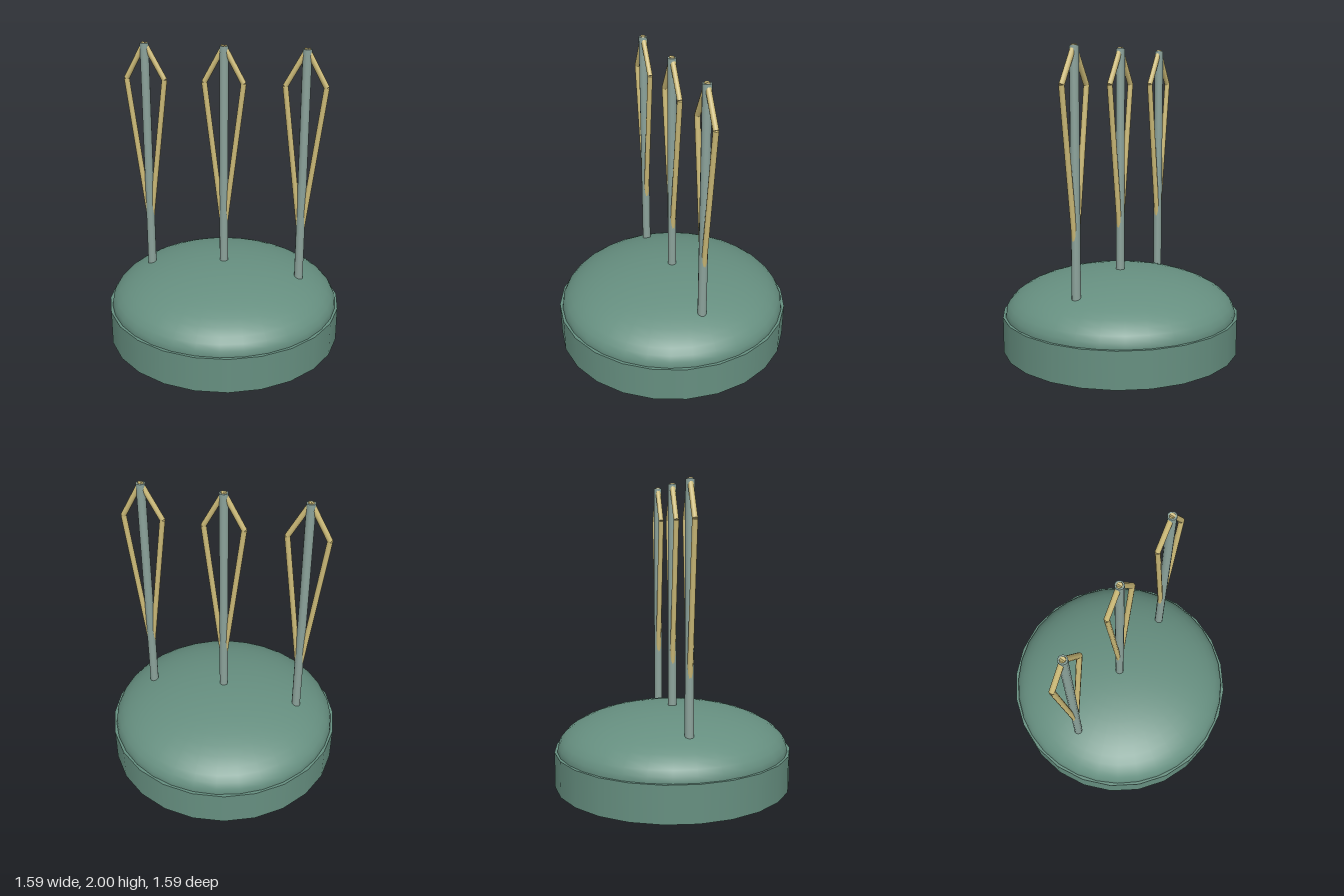
import * as THREE from 'three';

export function createModel() {
  const model = new THREE.Group();
  const green = new THREE.MeshStandardMaterial({ name: 'sage green', color: 0x668f80 });
  const grey = new THREE.MeshStandardMaterial({ name: 'grey green', color: 0x8ca39b });
  const straw = new THREE.MeshStandardMaterial({ name: 'straw yellow', color: 0xcdbb78 });

  const add = (parent, name, geometry, material, x = 0, y = 0) => {
    const mesh = new THREE.Mesh(geometry, material);
    mesh.name = name;
    mesh.position.set(x, y, 0);
    parent.add(mesh);
    return mesh;
  };

  // Straight round rod between two points in the xy plane
  const addRod = (parent, name, [x1, y1], [x2, y2]) => {
    const length = Math.hypot(x2 - x1, y2 - y1);
    const rod = add(parent, name, new THREE.CylinderGeometry(0.018, 0.018, length, 10),
      straw, (x1 + x2) / 2, (y1 + y2) / 2);
    rod.rotation.z = Math.atan2(x1 - x2, y2 - y1);
  };

  // Drum base with a flattened dome on top
  add(model, 'base', new THREE.CylinderGeometry(0.795, 0.795, 0.24, 24), green, 0, 0.12);
  const dome = new THREE.SphereGeometry(0.776, 32, 12, 0, Math.PI * 2, 0, Math.PI / 2);
  dome.scale(1, 0.285 / 0.776, 1);
  add(model, 'dome', dome, green, 0, 0.24);

  // Three poles, each framed by a pair of bent rods
  for (const x of [-0.52, 0, 0.52]) {
    const stand = new THREE.Group();
    stand.name = 'stand';
    stand.position.x = x;
    add(stand, 'pole', new THREE.CylinderGeometry(0.029, 0.029, 1.69, 12), grey, 0, 1.145);
    for (const side of [-1, 1]) {
      const elbow = [side * 0.128, 1.758];
      addRod(stand, 'upperRod', elbow, [0, 1.99]);
      addRod(stand, 'lowerRod', [side * 0.004, 0.76], elbow);
    }
    model.add(stand);
  }
  return model;
}
